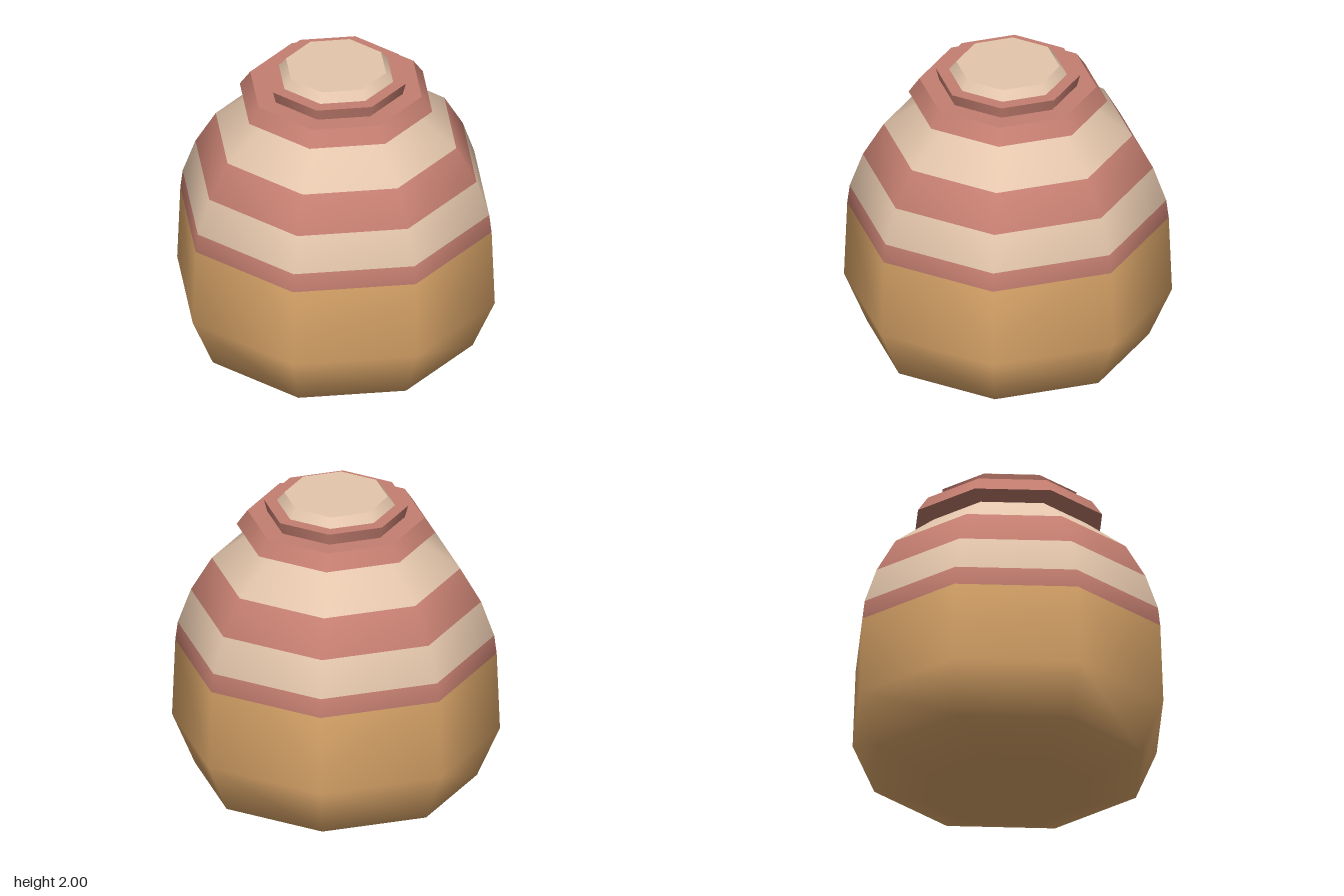
import * as THREE from 'three';

const SIDES = 8;

function material(name, color) {
  const m = new THREE.MeshStandardMaterial({ color });
  m.name = name;
  return m;
}

const lathe = (points) =>
  new THREE.LatheGeometry(points.map(([r, y]) => new THREE.Vector2(r, y)), SIDES);

export function createModel() {
  const group = new THREE.Group();
  group.name = 'jar';

  const clay = material('ochre clay', 0xe0aa6c);
  const cream = material('cream glaze', 0xe4c6ac);
  const rose = material('rose glaze', 0xc47e70);

  // Body: one smooth eight-sided lathe, coloured in horizontal bands
  const profile = [
    [0, 0], [0.5, 0.005], [0.86, 0.14], [1, 0.465], [0.98, 0.97],
    [0.965, 1.09], [0.885, 1.315], [0.757, 1.535], [0.5, 1.73],
  ];
  const bands = [0, 0, 0, 0, 2, 1, 2, 1]; // material index per profile segment
  const bodyGeo = lathe(profile);
  for (let i = 0; i < SIDES; i++) {
    bands.forEach((m, j) => bodyGeo.addGroup((i * bands.length + j) * 6, 6, m));
  }
  const body = new THREE.Mesh(bodyGeo, [clay, cream, rose]);
  body.name = 'body';
  group.add(body);

  // Stepped pieces: a separate lathe per segment keeps the profile edges crisp
  const stepped = (name, mat, points) => {
    const part = new THREE.Group();
    part.name = name;
    for (let i = 0; i < points.length - 1; i++) {
      const ring = new THREE.Mesh(lathe([points[i], points[i + 1]]), mat);
      ring.name = name + 'Ring';
      part.add(ring);
    }
    group.add(part);
  };

  // Wide flared collar under the lid
  stepped('collar', rose, [[0.48, 1.727], [0.606, 1.772], [0.54, 1.868], [0.4, 1.868]]);
  // Lid rim, slightly wider at the top
  stepped('lidRim', rose, [[0.42, 1.868], [0.44, 1.945], [0.34, 1.945]]);
  // Cream lid top
  stepped('lidTop', cream, [[0.36, 1.945], [0.315, 2], [0, 2]]);

  return group;
}
